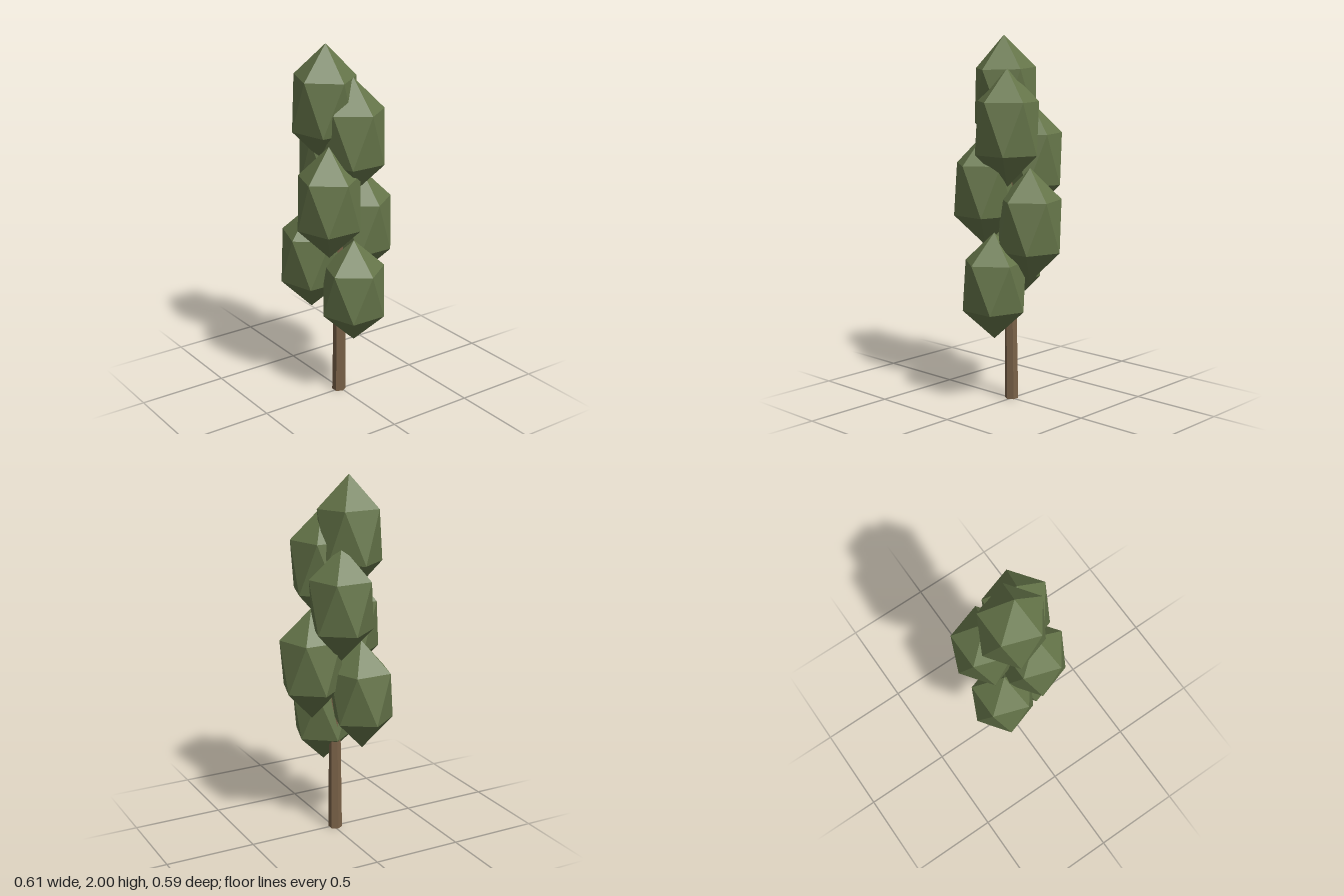
import * as THREE from 'three';

const leafMaterial = new THREE.MeshStandardMaterial({ color: 0x66764a, flatShading: true });
const barkMaterial = new THREE.MeshStandardMaterial({ color: 0x7a6248, flatShading: true });

// Icosahedron standing on one corner, with an upper ring corner towards +x
function leafGeometry() {
  const golden = (1 + Math.sqrt(5)) / 2;
  return new THREE.IcosahedronGeometry(1, 0).rotateZ(-Math.atan(1 / golden));
}

// Six-sided tapering trunk with a slight lean
function createTrunk() {
  const height = 1.5;
  const geometry = new THREE.CylinderGeometry(0.024, 0.038, height, 6);
  geometry.rotateY(Math.PI / 6);
  geometry.translate(0, height / 2, 0);
  const p = geometry.attributes.position;
  for (let i = 0; i < p.count; i++) {
    p.setX(i, p.getX(i) - 0.007 + 0.013 * p.getY(i));
    p.setZ(i, p.getZ(i) + 0.009);
  }
  const trunk = new THREE.Mesh(geometry, barkMaterial);
  trunk.name = 'trunk';
  return trunk;
}

export function createModel() {
  const tree = new THREE.Group();
  tree.name = 'tree';
  tree.add(createTrunk());

  // Leaf clumps spiralling up the trunk: x, y, z, half height, tilt
  const clumps = [
    [0.132, 0.66, 0.007, 0.292, 0],
    [-0.115, 0.81, 0.113, 0.306, -0.03],
    [0.0, 0.99, -0.132, 0.31, 0],
    [0.074, 1.17, 0.128, 0.31, 0],
    [-0.13, 1.335, -0.02, 0.31, 0],
    [0.07, 1.51, -0.03, 0.315, 0],
    [-0.035, 1.68, 0.08, 0.32, -0.04],
  ];
  const geometry = leafGeometry();
  const foliage = new THREE.Group();
  foliage.name = 'foliage';
  clumps.forEach(([x, y, z, halfHeight, tilt], i) => {
    const clump = new THREE.Mesh(geometry, leafMaterial);
    clump.name = `leafClump${i + 1}`;
    clump.position.set(x, y, z);
    clump.scale.set(0.194, halfHeight, 0.194);
    clump.rotation.z = tilt;
    foliage.add(clump);
  });
  tree.add(foliage);
  return tree;
}
